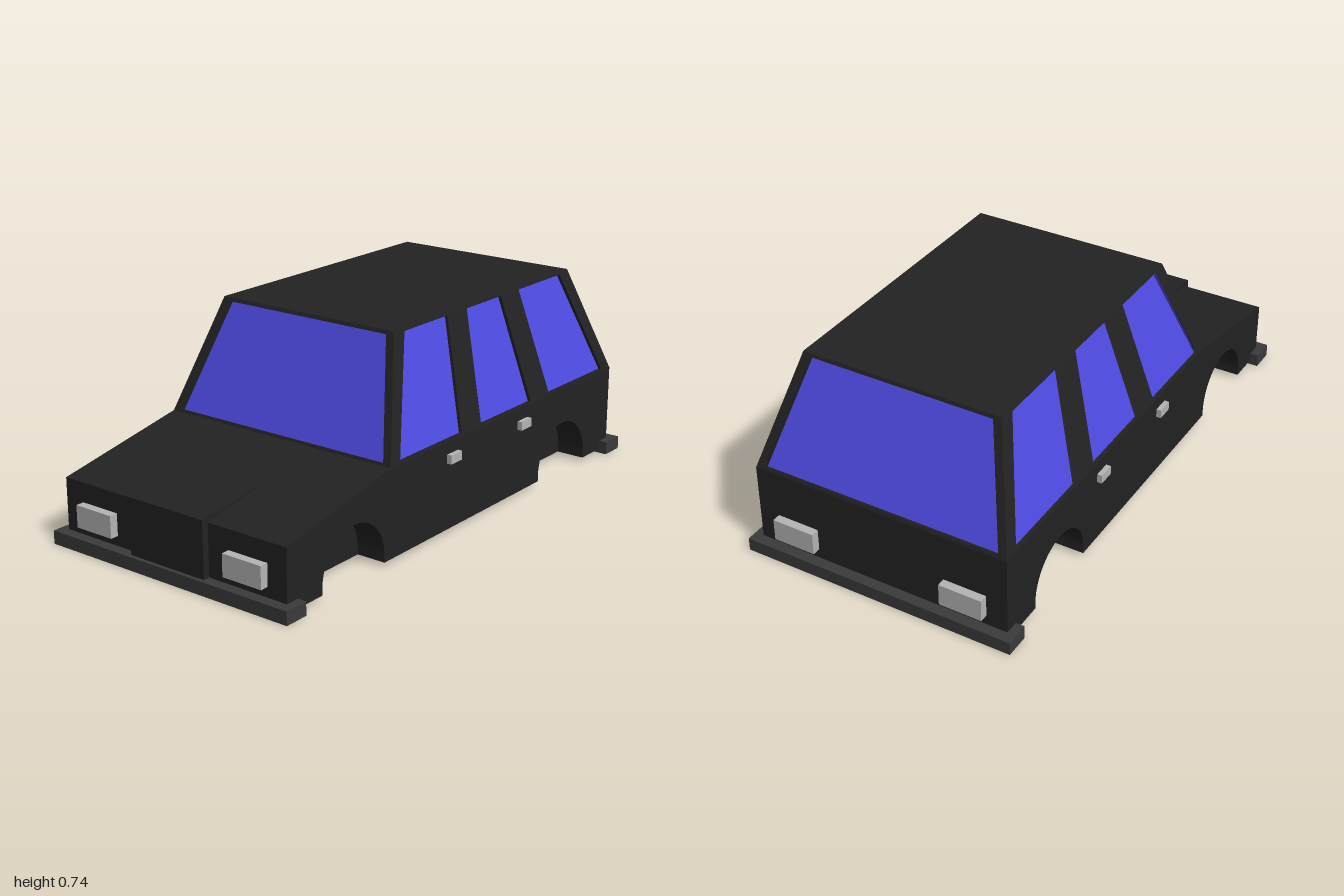
import * as THREE from 'three';

const paint = new THREE.MeshStandardMaterial({ color: 0x222222 });
const glass = new THREE.MeshStandardMaterial({ color: 0x4f4be4, side: THREE.DoubleSide });
const trim = new THREE.MeshStandardMaterial({ color: 0x3a3a3a });
const lamp = new THREE.MeshStandardMaterial({ color: 0xb4b4b4 });

const BELT = 0.333, ROOF = 0.735, FLOOR = 0.015;
const BODY_X = 0.48, ROOF_X = 0.37, ARCH_DEPTH = 0.11;

const polygon = (points, Type = THREE.Shape) =>
  new Type(points.map(([x, y]) => new THREE.Vector2(x, y)));

export function createModel() {
  const car = new THREE.Group();

  function add(name, geometry, material, parent = car) {
    const mesh = new THREE.Mesh(geometry, material);
    mesh.name = name;
    parent.add(mesh);
    return mesh;
  }

  function box(name, size, position, material) {
    add(name, new THREE.BoxGeometry(...size), material).position.set(...position);
  }

  // Extrudes a (z, y) side profile across x, from x0 to x1
  function extrudeAcross(name, shape, x0, x1) {
    const geometry = new THREE.ExtrudeGeometry(shape, {
      depth: x1 - x0, bevelEnabled: false, curveSegments: 24,
    });
    geometry.rotateY(-Math.PI / 2).translate(x1, 0, 0);
    add(name, geometry, paint);
  }

  // Lower body profile, optionally with wheel arches cut out of the sill
  function bodyProfile(arches) {
    const shape = new THREE.Shape();
    shape.moveTo(-0.96, FLOOR);
    for (const z of arches) {
      shape.lineTo(z - 0.16, FLOOR);
      shape.lineTo(z - 0.16, 0.04);
      shape.absarc(z, 0.04, 0.16, Math.PI, 0, true);
      shape.lineTo(z + 0.16, FLOOR);
    }
    shape.lineTo(0.96, FLOOR);
    shape.lineTo(0.96, 0.235);
    shape.lineTo(0.44, BELT);
    shape.lineTo(-0.96, BELT);
    shape.closePath();
    return shape;
  }

  const inner = BODY_X - ARCH_DEPTH;
  extrudeAcross('bodyCore', bodyProfile([]), -inner, inner);
  extrudeAcross('leftBodySide', bodyProfile([-0.625, 0.63]), inner, BODY_X);
  extrudeAcross('rightBodySide', bodyProfile([-0.625, 0.63]), -BODY_X, -inner);

  // Raised centre of the hood, running down over the nose
  extrudeAcross('hoodCentre', polygon([
    [0.66, 0.2], [0.9, 0.02], [0.985, 0.022], [0.985, 0.25], [0.66, 0.293],
  ]), -0.16, 0.16);

  // One leaning cabin wall with recessed windows. Points are [across, height],
  // laid out as if facing the front, then turned about y.
  function cabinWall(name, { angle, distance, lean, recess, outline, windows }) {
    const wall = new THREE.Group();
    wall.name = name;
    wall.rotation.y = angle;
    car.add(wall);
    const height = ROOF - BELT;
    const stretch = Math.hypot(height, lean) / height;
    const flat = (points) => points.map(([x, y]) => [x, (y - BELT) * stretch]);
    const place = (mesh, depth) => {
      mesh.rotation.x = -Math.atan2(lean, height);
      mesh.position.set(0, BELT, distance);
      mesh.translateZ(-depth);
    };
    const frame = polygon(flat(outline));
    frame.holes = windows.map((w) => polygon(flat(w), THREE.Path));
    place(add(name + 'Frame', new THREE.ExtrudeGeometry(frame, {
      depth: recess, bevelEnabled: false,
    }), paint, wall), recess);
    for (const w of windows) {
      place(add(name + 'Glass', new THREE.ShapeGeometry(polygon(flat(w))), glass, wall), recess * 0.95);
    }
  }

  // Windscreen and rear window
  const endWall = {
    outline: [[-BODY_X, BELT], [BODY_X, BELT], [ROOF_X, ROOF], [-ROOF_X, ROOF]],
    windows: [[[-0.447, 0.343], [0.447, 0.343], [0.342, 0.723], [-0.342, 0.723]]],
    recess: 0.018,
  };
  cabinWall('windscreen', { ...endWall, angle: 0, distance: 0.44, lean: 0.16 });
  cabinWall('rearWindow', { ...endWall, angle: Math.PI, distance: 0.96, lean: 0.16 });

  // Side walls: each window is [bottom front, bottom back, top back, top front] in z
  const sideWindows = [
    [0.385, 0.035, -0.02, 0.225],
    [-0.083, -0.4, -0.347, -0.135],
    [-0.523, -0.9, -0.742, -0.463],
  ];
  for (const side of [1, -1]) {
    const across = (z, y) => [-side * z, y];
    cabinWall(side > 0 ? 'leftWindows' : 'rightWindows', {
      angle: side * Math.PI / 2, distance: BODY_X, lean: BODY_X - ROOF_X, recess: 0.012,
      outline: [across(0.44, BELT), across(-0.96, BELT), across(-0.8, ROOF), across(0.28, ROOF)],
      windows: sideWindows.map((z) => z.map((v, i) => across(v, i < 2 ? 0.343 : 0.725))),
    });
  }

  box('roof', [ROOF_X * 2, 0.008, 1.08], [0, ROOF - 0.004, -0.26], paint);

  // Bumpers and lamps at both ends, door handles on both sides
  for (const end of [1, -1]) {
    const where = end > 0 ? 'front' : 'rear';
    box(where + 'Bumper', [1.024, 0.048, 0.092], [0, 0.024, end * 0.954], trim);
    for (const side of [1, -1]) {
      box(where + 'Lamp', [0.158, 0.08, 0.04], [side * 0.324, 0.124, end * 0.971], lamp);
    }
  }
  for (const side of [1, -1]) {
    for (const z of [0.091, -0.346]) {
      box('doorHandle', [0.03, 0.032, 0.063], [side * 0.483, 0.273, z], lamp);
    }
  }
  return car;
}
